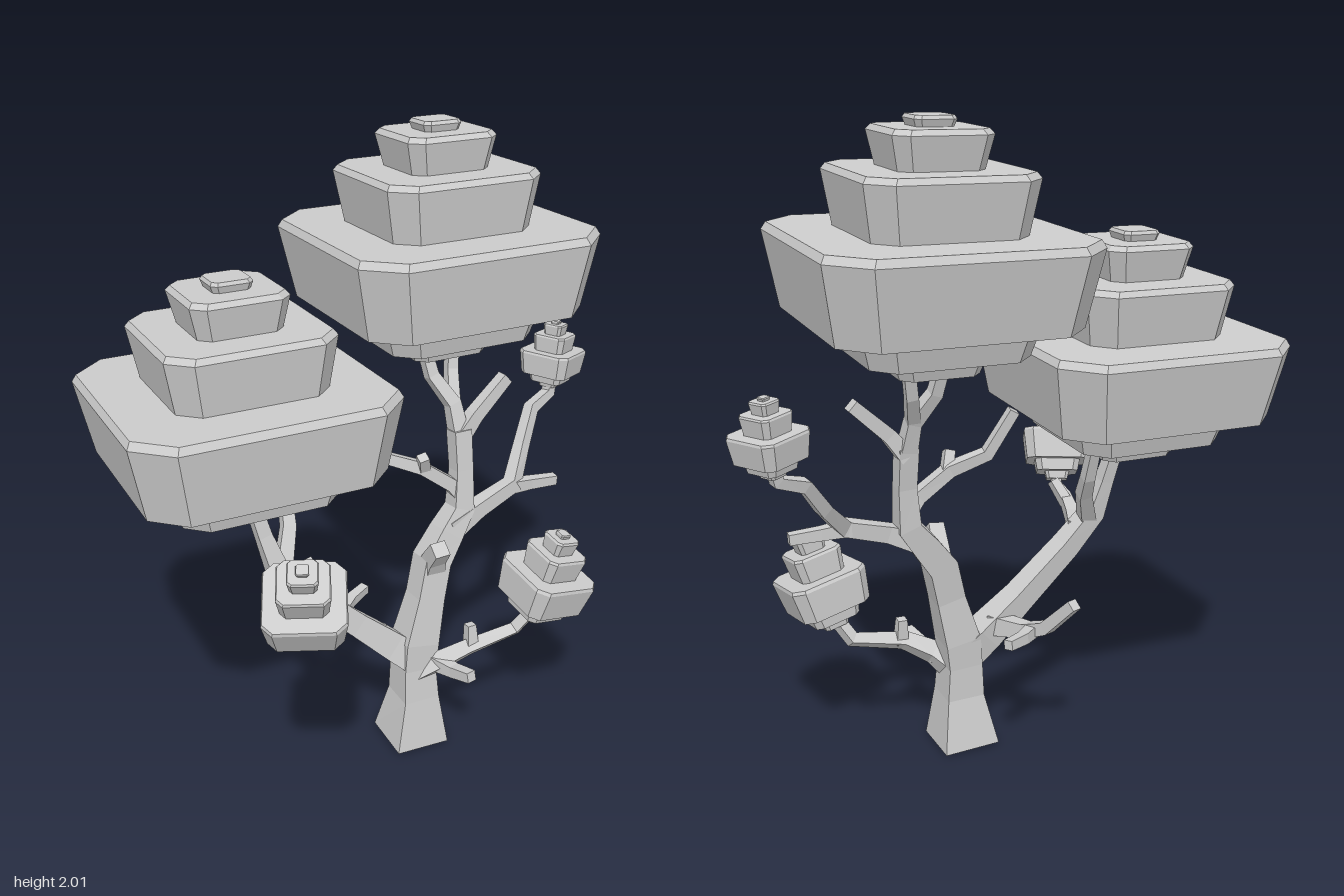
import * as THREE from 'three';

const V = (p) => new THREE.Vector3(p[0], p[1], p[2]);
const material = new THREE.MeshStandardMaterial({ color: 0xcccccc, flatShading: true });

// Joins equal-sized rings of points (counterclockwise about the path) and caps both ends
function loft(rings) {
  const n = rings[0].length, pos = [];
  const tri = (a, b, c) => [a, b, c].forEach((v) => pos.push(v.x, v.y, v.z));
  for (let i = 0; i < rings.length - 1; i++) {
    for (let j = 0; j < n; j++) {
      const k = (j + 1) % n, a = rings[i], b = rings[i + 1];
      tri(a[j], a[k], b[k]);
      tri(a[j], b[k], b[j]);
    }
  }
  const first = rings[0], last = rings[rings.length - 1];
  for (let j = 1; j < n - 1; j++) {
    tri(first[0], first[j + 1], first[j]);
    tri(last[0], last[j], last[j + 1]);
  }
  const g = new THREE.BufferGeometry();
  g.setAttribute('position', new THREE.Float32BufferAttribute(pos, 3));
  g.computeVertexNormals();
  return g;
}

// Square-section limb through points [x, y, z, half width]
function limb(name, path) {
  const pts = path.map(V);
  let normal = null;
  const rings = pts.map((p, i) => {
    const prev = pts[Math.max(i - 1, 0)], next = pts[Math.min(i + 1, pts.length - 1)];
    const before = p.clone().sub(prev).normalize(), after = next.clone().sub(p).normalize();
    const t = before.add(after).normalize();
    if (!normal) normal = Math.abs(t.x) < 0.8 ? new THREE.Vector3(1, 0, 0) : new THREE.Vector3(0, 0, 1);
    normal = normal.clone().addScaledVector(t, -normal.dot(t)).normalize();
    const side = t.clone().cross(normal), w = path[i][3];
    return [[1, 1], [-1, 1], [-1, -1], [1, -1]].map(([a, b]) =>
      p.clone().addScaledVector(normal, a * w).addScaledVector(side, b * w));
  });
  const m = new THREE.Mesh(loft(rings), material);
  m.name = name;
  return m;
}

// Square with cut corners, lying flat at height y
function cutSquare(w, y) {
  const c = w * 0.74;
  return [[w, -c], [w, c], [c, w], [-c, w], [-w, c], [-w, -c], [-c, -w], [c, -w]]
    .map(([x, z]) => new THREE.Vector3(x, y, -z));
}

// Stepped foliage: each tier flares upward and ends in a small bevel [half width, height]
const tiers = [
  [0.12, 0], [0.14, 0.06],
  [0.235, 0.06], [0.26, 0.15],
  [0.355, 0.15], [0.395, 0.37], [0.383, 0.392],
  [0.225, 0.392], [0.25, 0.545], [0.238, 0.562],
  [0.125, 0.562], [0.145, 0.655], [0.133, 0.67],
  [0.055, 0.67], [0.062, 0.69], [0.056, 0.7],
];
const crownGeometry = loft(tiers.map(([w, y]) => cutSquare(w, y)));

function crown(name, bottom, top, width, yaw) {
  const m = new THREE.Mesh(crownGeometry, material);
  const axis = V(top).sub(V(bottom));
  const s = width / 0.79;
  m.name = name;
  m.scale.set(s, axis.length() / 0.7, s);
  m.position.copy(V(bottom));
  const up = new THREE.Vector3(0, 1, 0);
  m.quaternion.setFromUnitVectors(up, axis.normalize())
    .multiply(new THREE.Quaternion().setFromAxisAngle(up, yaw));
  return m;
}

export function createModel() {
  const tree = new THREE.Group();
  tree.name = 'tree';
  tree.add(
    // Trunk and main leader
    limb('trunk', [[0.072, 0, 0.05, 0.092], [0.08, 0.17, 0.052, 0.062], [0.08, 0.28, 0.045, 0.056],
      [0.09, 0.37, 0.04, 0.058], [0.13, 0.52, 0.03, 0.047], [0.16, 0.64, 0.015, 0.047],
      [0.22, 0.72, 0.0, 0.042], [0.275, 0.79, -0.015, 0.036], [0.285, 0.92, -0.03, 0.029],
      [0.285, 1.05, -0.05, 0.03]]),
    limb('trunkStub', [[0.155, 0.6, 0.02, 0.036], [0.145, 0.67, 0.06, 0.028], [0.138, 0.73, 0.11, 0.025]]),
    limb('leaderForkLeft', [[0.285, 1.03, -0.05, 0.026], [0.275, 1.13, -0.08, 0.022], [0.22, 1.22, -0.12, 0.019],
      [0.2, 1.33, -0.15, 0.017]]),
    limb('leaderForkMiddle', [[0.275, 1.13, -0.08, 0.02], [0.3, 1.22, -0.14, 0.018], [0.32, 1.33, -0.17, 0.017]]),
    limb('leaderForkRight', [[0.285, 1.02, -0.05, 0.026], [0.34, 1.09, -0.05, 0.022], [0.455, 1.195, -0.06, 0.019]]),

    // Twigs on the inner side of the leader
    limb('innerTwig', [[0.285, 0.83, -0.02, 0.027], [0.24, 0.88, -0.02, 0.021], [0.14, 0.955, -0.03, 0.02],
      [0.03, 1.0, -0.06, 0.018], [-0.045, 1.135, -0.09, 0.016]]),
    limb('innerTwigStub', [[0.15, 0.945, -0.03, 0.018], [0.13, 1.005, 0.0, 0.016]]),

    // Upper right branch
    limb('upperBranch', [[0.23, 0.73, 0.0, 0.036], [0.34, 0.775, -0.01, 0.026], [0.48, 0.82, -0.03, 0.024],
      [0.56, 0.91, -0.11, 0.02], [0.63, 1.01, -0.17, 0.019], [0.715, 1.04, -0.2, 0.017],
      [0.727, 1.09, -0.21, 0.016]]),
    limb('upperBranchStub', [[0.46, 0.815, -0.03, 0.022], [0.55, 0.81, -0.03, 0.018], [0.645, 0.805, -0.025, 0.016]]),

    // Lower right branch
    limb('lowerBranch', [[0.085, 0.25, 0.05, 0.04], [0.15, 0.3, 0.1, 0.029], [0.24, 0.345, 0.13, 0.023],
      [0.41, 0.375, 0.14, 0.019], [0.465, 0.46, 0.17, 0.017]]),
    limb('lowerBranchStub', [[0.25, 0.34, 0.13, 0.02], [0.25, 0.425, 0.12, 0.015]]),
    limb('frontStub', [[0.14, 0.295, 0.09, 0.025], [0.165, 0.3, 0.17, 0.019], [0.185, 0.32, 0.25, 0.017]]),

    // Long left branch and its forks
    limb('leftBranch', [[0.08, 0.3, 0.045, 0.05], [0.0, 0.37, 0.03, 0.046], [-0.12, 0.48, 0.02, 0.038],
      [-0.28, 0.635, 0.01, 0.034], [-0.37, 0.74, 0.0, 0.03], [-0.4, 0.85, -0.02, 0.022],
      [-0.43, 0.98, -0.04, 0.02]]),
    limb('leftBranchFork', [[-0.35, 0.72, 0.0, 0.025], [-0.3, 0.83, -0.07, 0.021], [-0.285, 0.9, -0.12, 0.018],
      [-0.285, 1.04, -0.17, 0.016]]),
    limb('leftFrontBranch', [[-0.32, 0.68, 0.01, 0.03], [-0.36, 0.69, 0.12, 0.022], [-0.4, 0.71, 0.25, 0.018],
      [-0.41, 0.725, 0.34, 0.017], [-0.425, 0.77, 0.37, 0.016]]),
    limb('leftFrontStub', [[-0.39, 0.7, 0.22, 0.018], [-0.36, 0.77, 0.265, 0.015]]),
    limb('backBranch', [[-0.03, 0.4, 0.02, 0.032], [-0.09, 0.415, -0.1, 0.023], [-0.12, 0.45, -0.18, 0.02],
      [-0.16, 0.56, -0.285, 0.017]]),
    limb('backBranchStub', [[-0.095, 0.425, -0.13, 0.019], [-0.04, 0.43, -0.18, 0.017], [0.03, 0.435, -0.22, 0.015]]),

    // Foliage
    crown('mainCrown', [0.25, 1.3, -0.15], [0.25, 2.0, -0.182], 0.79, 0),
    crown('secondCrown', [-0.455, 0.955, -0.035], [-0.455, 1.655, -0.067], 0.79, 0),
    crown('frontCluster', [-0.42, 0.74, 0.355], [-0.475, 1.015, 0.47], 0.235, -0.42),
    crown('lowerCluster', [0.46, 0.425, 0.165], [0.535, 0.74, 0.205], 0.25, 0.1),
    crown('upperCluster', [0.725, 1.06, -0.21], [0.745, 1.285, -0.22], 0.18, 0.52),
  );
  return tree;
}
